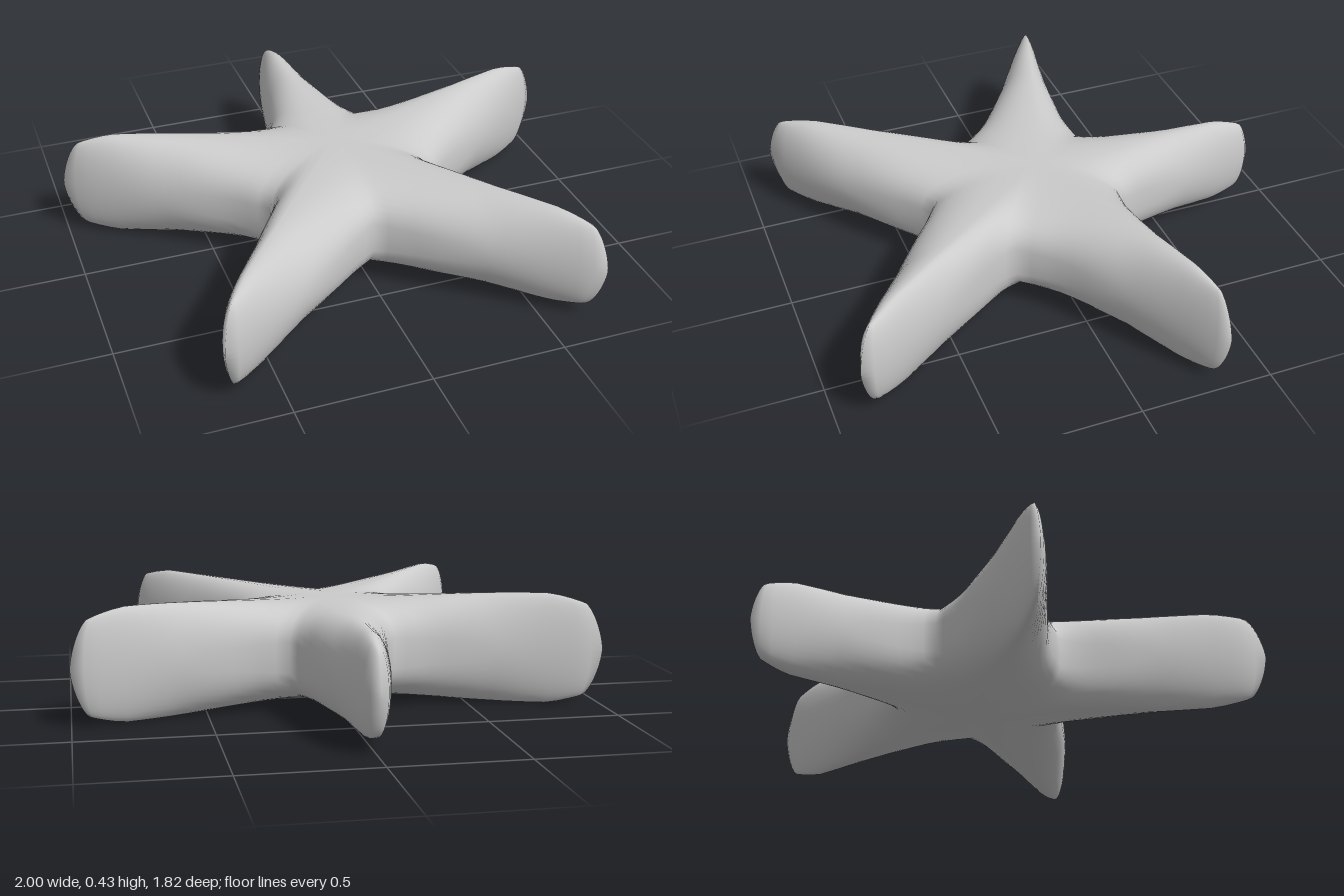
import * as THREE from 'three';
import { mergeVertices } from 'three/addons/utils/BufferGeometryUtils.js';

const MID = 0.215;       // height of the widest contour
const CORE = 0.186;      // half thickness at the centre
const STEPS = 16;        // samples along one flank
const LAYERS = 20;       // samples from top ridge to bottom ridge

// Arms: ridge end [x, z], half thickness along the arm and at the ridge end
const back = { end: [0, -0.865], h: 0.186, tip: 0.15 };
const side = { end: [0.93, -0.302], h: 0.215, tip: 0.18 };
const front = { end: [0.655, 0.85], h: 0.197, tip: 0.168 };

// Flanks of the +x half, each running from valley to arm tip [x, z]
const flanks = [
  { arm: back, pts: [[0.2, -0.265], [0.163, -0.33], [0.13, -0.47], [0.085, -0.7], [0.04, -0.87], [0.022, -0.905], [0, -0.915]] },
  { arm: side, pts: [[0.2, -0.265], [0.34, -0.255], [0.44, -0.265], [0.7, -0.298], [0.95, -0.333], [1, -0.325]] },
  { arm: side, pts: [[0.33, 0.21], [0.43, 0.095], [0.6, -0.03], [0.8, -0.165], [0.94, -0.268], [1, -0.325]] },
  { arm: front, pts: [[0.33, 0.21], [0.348, 0.28], [0.45, 0.44], [0.59, 0.655], [0.69, 0.835], [0.7, 0.905]] },
  { arm: front, pts: [[0, 0.435], [0.075, 0.485], [0.2, 0.585], [0.4, 0.735], [0.55, 0.835], [0.645, 0.89], [0.7, 0.905]] },
];

// Half thickness of an arm at ridge position k (0 centre, 1 ridge end)
function thickness(arm, k) {
  if (k > 0.85) return THREE.MathUtils.lerp(arm.h, arm.tip, ((k - 0.85) / 0.15) ** 1.5);
  return THREE.MathUtils.lerp(CORE, arm.h, THREE.MathUtils.smoothstep(k, 0.05, 0.8));
}

// Stations pair a contour point with a ridge point, ordered from valley to tip
function flankStations({ arm, pts }) {
  const curve = new THREE.CatmullRomCurve3(pts.map(([x, z]) => new THREE.Vector3(x, 0, z)), false, 'centripetal');
  const list = [];
  for (let i = 0; i <= STEPS; i++) {
    const s = i / STEPS;
    const k = 1 - (1 - s) ** 1.4;
    const p = curve.getPointAt(s);
    const power = s === 1 ? 1.5 : THREE.MathUtils.lerp(3.2, 2, Math.min(1, s * 2));
    list.push({ x: p.x, z: p.z, rx: arm.end[0] * k, rz: arm.end[1] * k, h: thickness(arm, k), power });
  }
  return list;
}

function starGeometry() {
  // Half loop from the back tip to the front valley, then its mirror image
  const half = [];
  flanks.forEach((flank, i) => {
    const list = flankStations(flank);
    if (i % 2 === 0) list.reverse();
    half.push(...(i ? list.slice(1) : list));
  });
  const mirrored = half.slice(1, -1).reverse().map((s) => ({ ...s, x: -s.x, rx: -s.rx }));
  const loop = [...half, ...mirrored];

  // Each layer moves along a rounded section: top ridge, contour, bottom ridge
  const positions = [];
  for (let j = 0; j <= LAYERS; j++) {
    const a = Math.PI / 2 - (Math.PI * j) / LAYERS;
    const c = Math.max(0, Math.cos(a)), sn = Math.sin(a);
    for (const s of loop) {
      const out = j % LAYERS === 0 ? 0 : c ** (2 / s.power);
      const up = j * 2 === LAYERS ? 0 : Math.sign(sn) * Math.abs(sn) ** (2 / s.power);
      positions.push(
        THREE.MathUtils.lerp(s.rx, s.x, out),
        MID + s.h * up,
        THREE.MathUtils.lerp(s.rz, s.z, out),
      );
    }
  }
  const index = [];
  const n = loop.length;
  for (let j = 0; j < LAYERS; j++) {
    for (let i = 0; i < n; i++) {
      const a = j * n + i, b = j * n + ((i + 1) % n);
      index.push(a, b, a + n, b, b + n, a + n);
    }
  }
  const geometry = new THREE.BufferGeometry();
  geometry.setAttribute('position', new THREE.Float32BufferAttribute(positions, 3));
  geometry.setIndex(index);
  // Weld the ridges shared by both flanks of an arm
  const welded = mergeVertices(geometry, 1e-4);
  welded.computeVertexNormals();
  return welded;
}

export function createModel() {
  const group = new THREE.Group();
  group.name = 'star';
  const body = new THREE.Mesh(starGeometry(), new THREE.MeshStandardMaterial({ color: 0xcccccc }));
  body.name = 'starBody';
  group.add(body);
  return group;
}
